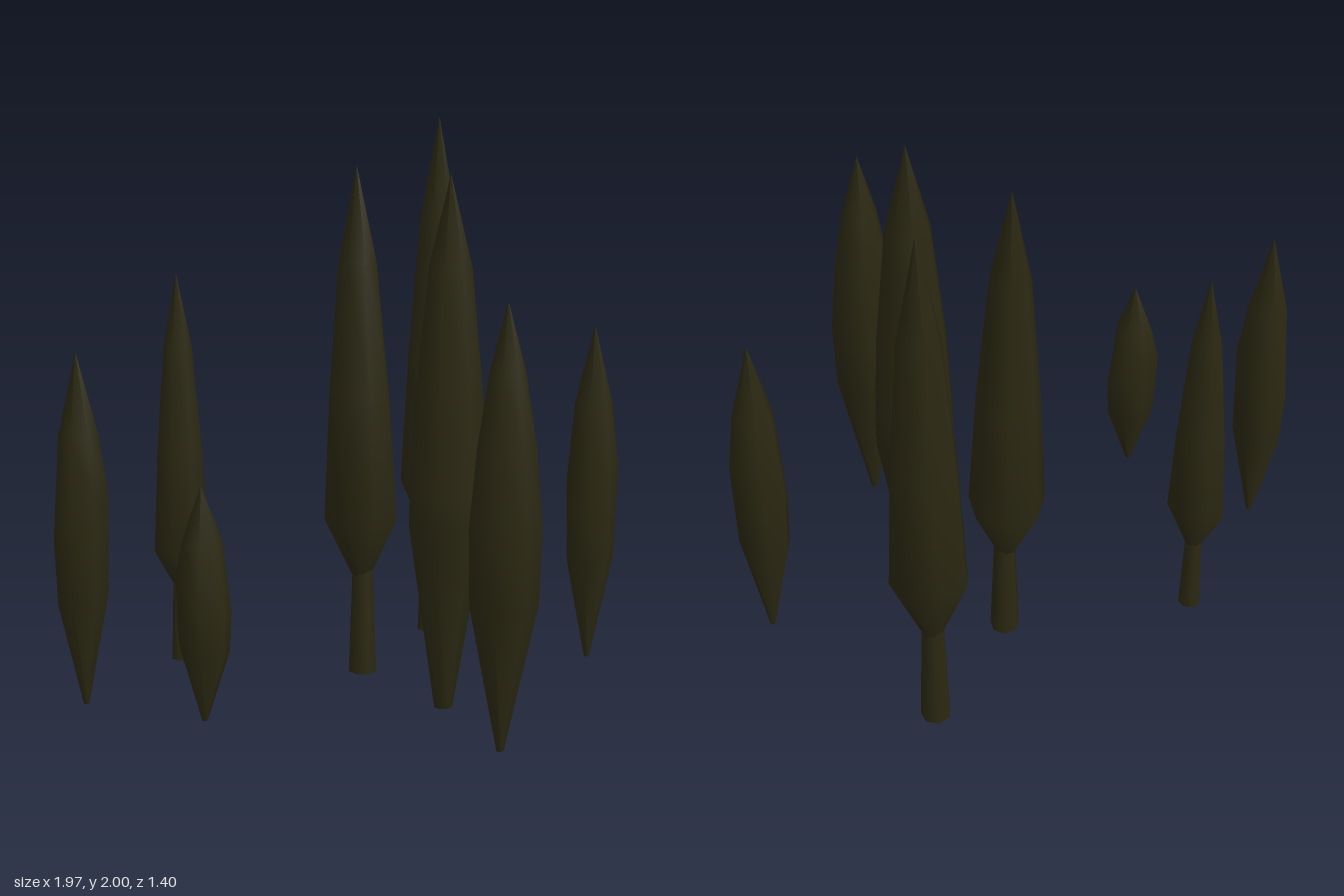
import * as THREE from 'three';

const SIDES = 7;

// Crown profiles: [height 0..1, radius 0..1, share of the ring slant]
const PROFILES = {
  spindle: [[0, 0, 0], [0.001, 0.1, 0], [0.31, 0.92, 0.25], [0.54, 1, 1], [0.77, 0.72, 0], [1, 0, 0]],
  slender: [[0, 0, 0], [0.001, 0.1, 0], [0.34, 0.95, 0.25], [0.51, 1, 1], [0.69, 0.8, 0.2], [0.845, 0.5, 0], [1, 0, 0]],
  column: [[0, 0, 0], [0.001, 0.24, 0], [0.36, 1, 0.5], [0.42, 1, 1], [0.6, 0.87, 0.2], [0.83, 0.56, 0], [1, 0, 0]],
  trunked: [[0.19, 0.2, 0], [0.315, 1, 1], [0.55, 0.83, 0.2], [0.815, 0.52, 0], [1, 0, 0]],
};

// Position, base and tip height, crown radius, turn, slant [x, z] of the widest ring, tip offset
const TREES = [
  { name: 'farLeftTree', kind: 'spindle', x: -0.9, z: -0.215, base: 0.1, top: 1.315, r: 0.094, turn: -1.55, slant: [0.07, 0.07], lean: [0, 0] },
  { name: 'smallTree', kind: 'spindle', x: -0.617, z: 0.197, base: 0.145, top: 0.935, r: 0.092, turn: Math.PI, slant: [-0.05, -0.04], lean: [0, 0] },
  { name: 'farRightTree', kind: 'spindle', x: 0.893, z: 0.025, base: 0.1, top: 1.315, r: 0.094, turn: -1.57, slant: [0.09, -0.06], lean: [0, 0] },
  { name: 'frontTree', kind: 'slender', x: 0.262, z: 0.585, base: 0.045, top: 1.53, r: 0.122, turn: 0.17, slant: [0, 0], lean: [0.01, -0.015] },
  { name: 'middleTree', kind: 'column', x: 0.312, z: 0.045, base: 0, top: 1.87, r: 0.138, turn: -1.57, slant: [0, 0], lean: [0, 0.02] },
  { name: 'backLeftTree', kind: 'trunked', x: -0.456, z: -0.53, base: 0.1, top: 1.5, r: 0.098, turn: -1.5, slant: [0.03, 0], lean: [0.005, 0] },
  { name: 'backMiddleTree', kind: 'trunked', x: 0.15, z: -0.292, base: 0.045, top: 1.87, r: 0.131, turn: 0, slant: [0, 0], lean: [-0.018, -0.015] },
  { name: 'tallestTree', kind: 'trunked', x: 0.55, z: -0.577, base: 0.065, top: 2, r: 0.131, turn: -1.57, slant: [0.015, -0.05], lean: [0.02, 0] },
];

// Seven-sided crown with slanted rings and a leaning tip
function crownGeometry(t) {
  const profile = PROFILES[t.kind];
  const h = t.top - t.base;
  const points = profile.map(([y, r]) => new THREE.Vector2(r * t.r, y * h));
  const geo = new THREE.LatheGeometry(points, SIDES, t.turn);
  const pos = geo.attributes.position;
  for (let i = 0; i < pos.count; i++) {
    const [level, , share] = profile[i % profile.length];
    const x = pos.getX(i), z = pos.getZ(i);
    const lift = share * (t.slant[0] * x + t.slant[1] * z) / t.r;
    pos.setXYZ(i, x + t.lean[0] * level, pos.getY(i) + lift, z + t.lean[1] * level);
  }
  return geo;
}

export function createModel() {
  const model = new THREE.Group();
  model.name = 'cypressGrove';
  const foliage = new THREE.MeshStandardMaterial({ color: 0x2b2812 });
  foliage.name = 'darkOliveFoliage';

  for (const t of TREES) {
    const tree = new THREE.Group();
    tree.name = t.name;
    tree.position.set(t.x, t.base, t.z);

    const crown = new THREE.Mesh(crownGeometry(t), foliage);
    crown.name = 'crown';
    tree.add(crown);

    // Tapered trunk reaching a little way into the crown
    if (t.kind === 'trunked') {
      const h = (t.top - t.base) * 0.22;
      const geo = new THREE.CylinderGeometry(t.r * 0.28, t.r * 0.39, h, SIDES, 1, false, t.turn);
      const trunk = new THREE.Mesh(geo, foliage);
      trunk.name = 'trunk';
      trunk.position.y = h / 2;
      tree.add(trunk);
    }
    model.add(tree);
  }
  return model;
}
